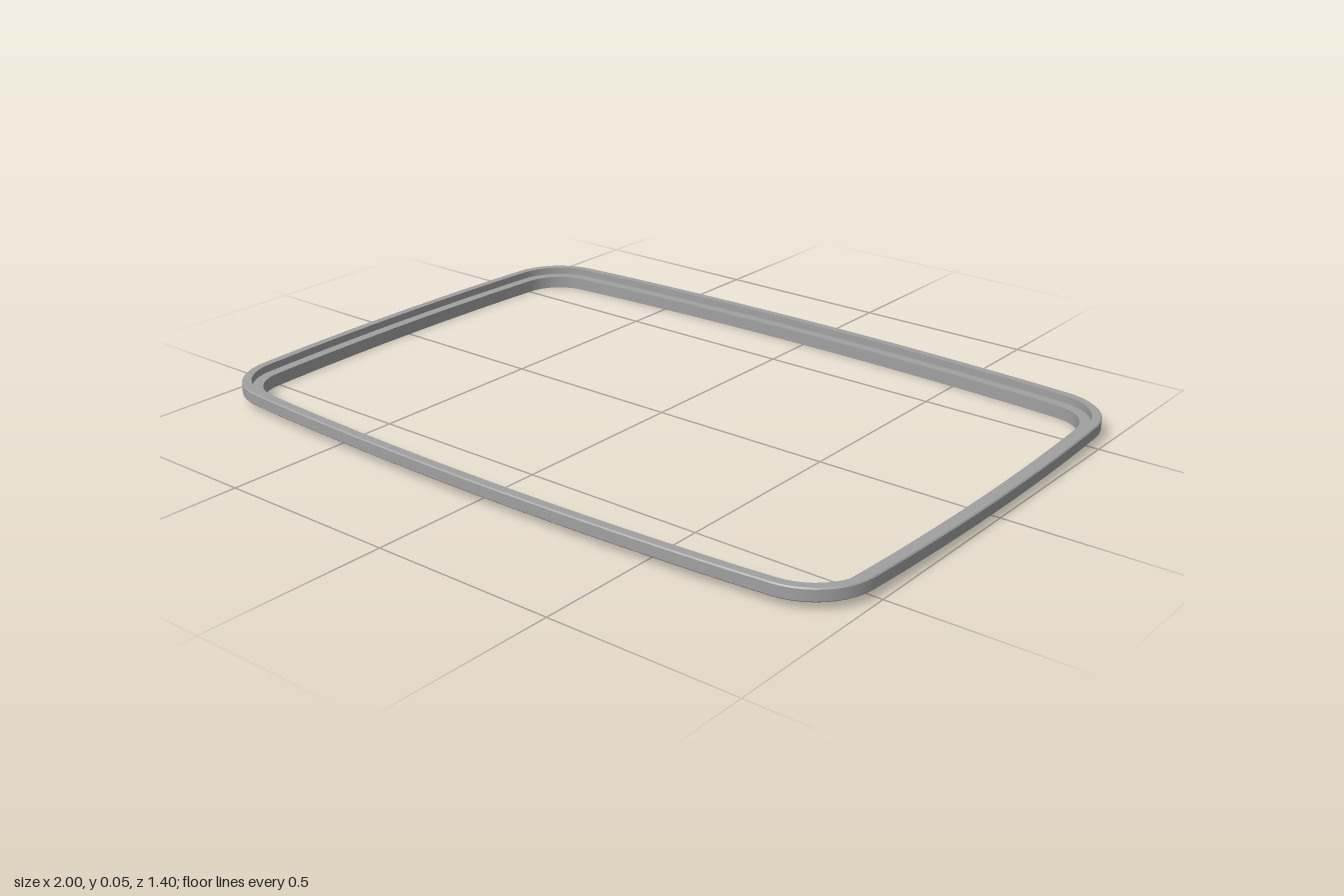
import * as THREE from 'three';
import { mergeGeometries } from 'three/addons/utils/BufferGeometryUtils.js';

// One quarter of the bowed, round-cornered outline: [x, z, normalX, normalZ]
function quarterOutline() {
  const pts = [];
  const add = (x, z, nx, nz) => {
    const l = Math.hypot(nx, nz);
    pts.push([x, z, nx / l, nz / l]);
  };
  const bowX = 0.06, bowZ = 0.0457, steps = 8;
  for (let i = 0; i < steps; i++) {            // side edge
    const z = 0.51 * i / steps;
    add(1 - bowX * z * z, z, 1, 2 * bowX * z);
  }
  const a0 = 0.06, a1 = 1.495, r = 0.17;
  for (let i = 0; i <= 10; i++) {              // rounded corner
    const a = a0 + (a1 - a0) * i / 10;
    add(0.8145 + r * Math.cos(a), 0.5 + r * Math.sin(a), Math.cos(a), Math.sin(a));
  }
  for (let i = steps - 1; i >= 0; i--) {       // long edge
    const x = 0.827 * i / steps;
    add(x, 0.702 - bowZ * x * x, 2 * bowZ * x, 1);
  }
  return pts;
}

// Mirror the quarter into a closed loop
function fullOutline() {
  const quarter = quarterOutline(), loop = [];
  [[1, 1], [-1, 1], [-1, -1], [1, -1]].forEach(([sx, sz], q) => {
    const part = quarter.map(([x, z, nx, nz]) => [sx * x, sz * z, sx * nx, sz * nz]);
    if (q % 2) part.reverse();
    loop.push(...part.slice(0, -1));
  });
  return loop;
}

// Sweep a closed profile of [inset, height] round the loop, one strip per face
function sweep(profile, loop) {
  const n = loop.length;
  const strips = profile.map((p, k) => {
    const next = profile[(k + 1) % profile.length];
    const pos = [], index = [];
    loop.forEach(([x, z, nx, nz], i) => {
      for (const [inset, y] of [p, next]) pos.push(x - nx * inset, y, z - nz * inset);
      const a = 2 * i, b = 2 * ((i + 1) % n);
      index.push(a, a + 1, b, a + 1, b + 1, b);
    });
    const g = new THREE.BufferGeometry();
    g.setAttribute('position', new THREE.Float32BufferAttribute(pos, 3));
    g.setIndex(index);
    g.computeVertexNormals();
    return g;
  });
  return mergeGeometries(strips);
}

export function createModel() {
  const group = new THREE.Group();
  group.name = 'frame';
  const grey = new THREE.MeshStandardMaterial({ color: 0xa0a0a0 });
  grey.name = 'grey';

  // Outer band with a raised rim, an inner ledge and a thin lip below
  const profile = [
    [0.003, 0.021], [0, 0.024], [0, 0.052], [0.003, 0.055], [0.025, 0.055],
    [0.025, 0.035], [0.054, 0.035], [0.054, 0], [0.046, 0], [0.046, 0.021],
  ];
  const ring = new THREE.Mesh(sweep(profile, fullOutline()), grey);
  ring.name = 'steppedRing';
  group.add(ring);
  return group;
}
